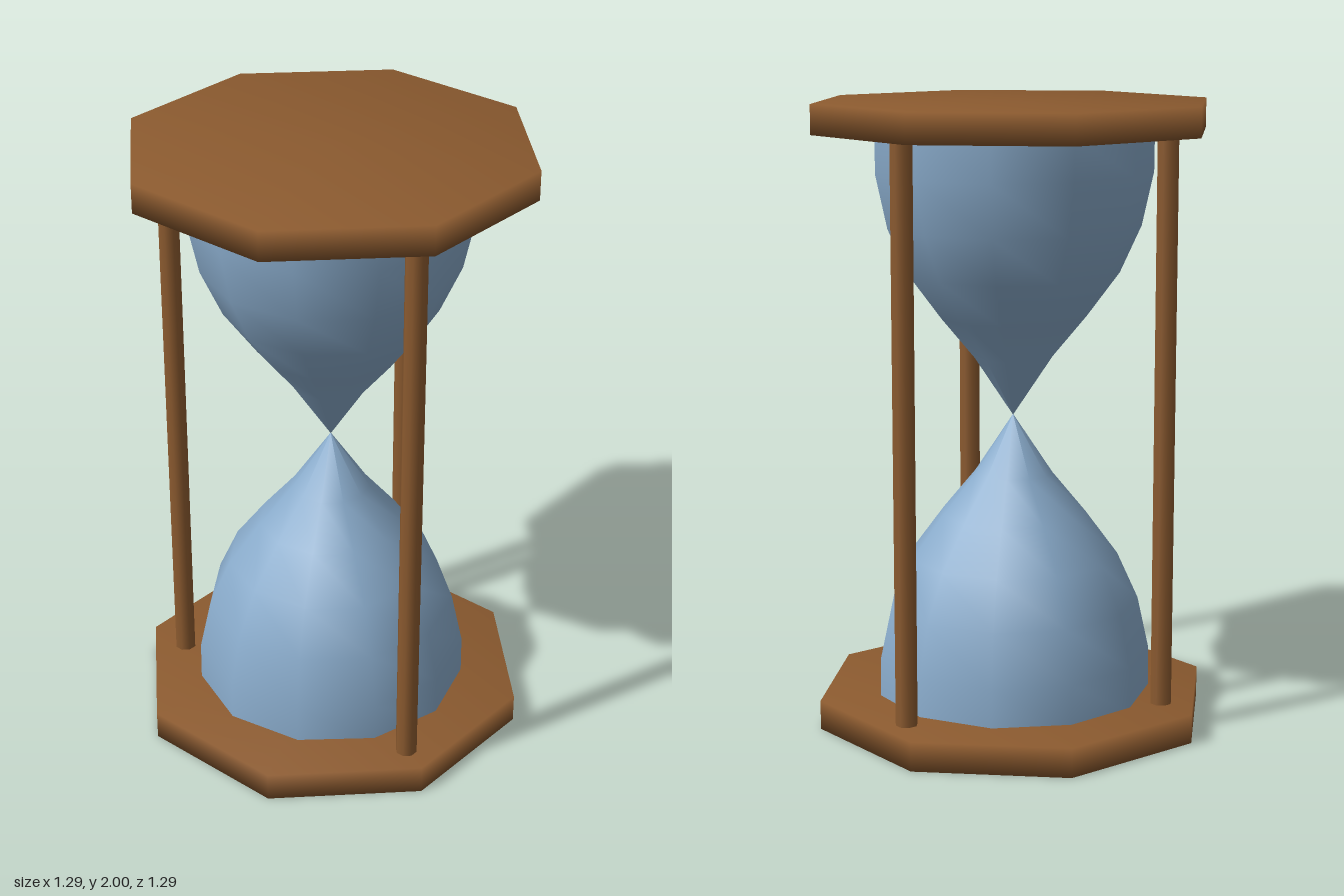
import * as THREE from 'three';
import { mergeVertices } from 'three/addons/utils/BufferGeometryUtils.js';

const wood = new THREE.MeshStandardMaterial({ color: 0x8b5a2f });
const glass = new THREE.MeshStandardMaterial({ color: 0x8aaccc, side: THREE.DoubleSide });

const PLATE_H = 0.094;

function add(group, name, geometry, material, x = 0, y = 0, z = 0) {
  const mesh = new THREE.Mesh(geometry, material);
  mesh.name = name;
  mesh.position.set(x, y, z);
  group.add(mesh);
  return mesh;
}

// Octagonal plate with normals blended over its rim
function plateGeometry() {
  const g = new THREE.CylinderGeometry(0.645, 0.645, PLATE_H, 8);
  g.deleteAttribute('normal');
  g.deleteAttribute('uv');
  const merged = mergeVertices(g);
  merged.computeVertexNormals();
  return merged;
}

// Eleven-sided bulb with one corner on +x
function bulbGeometry(points) {
  return new THREE.LatheGeometry(points, 11, Math.PI / 2);
}

export function createModel() {
  const model = new THREE.Group();
  model.name = 'hourglass';

  // End plates
  const plate = plateGeometry();
  add(model, 'bottomPlate', plate, wood, 0, PLATE_H / 2);
  add(model, 'topPlate', plate, wood, 0, 2 - PLATE_H / 2);

  // Glass bulbs: one profile, mirrored about the neck
  const profile = [
    [0.445, 0.08], [0.444, 0.22], [0.407, 0.39], [0.339, 0.54],
    [0.235, 0.68], [0.127, 0.81], [0.001, 1],
  ].map(([r, y]) => new THREE.Vector2(r, y));
  const mirrored = profile.map((p) => new THREE.Vector2(p.x, 2 - p.y)).reverse();
  add(model, 'lowerBulb', bulbGeometry(profile), glass);
  add(model, 'upperBulb', bulbGeometry(mirrored), glass);

  // Three posts
  const post = new THREE.CylinderGeometry(0.035, 0.035, 2 - 2 * PLATE_H + 0.02, 8);
  const posts = {
    frontPost: [0, 0.54],
    backLeftPost: [0.43, -0.295],
    backRightPost: [-0.403, -0.315],
  };
  for (const [name, [x, z]] of Object.entries(posts)) add(model, name, post, wood, x, 1, z);

  return model;
}
